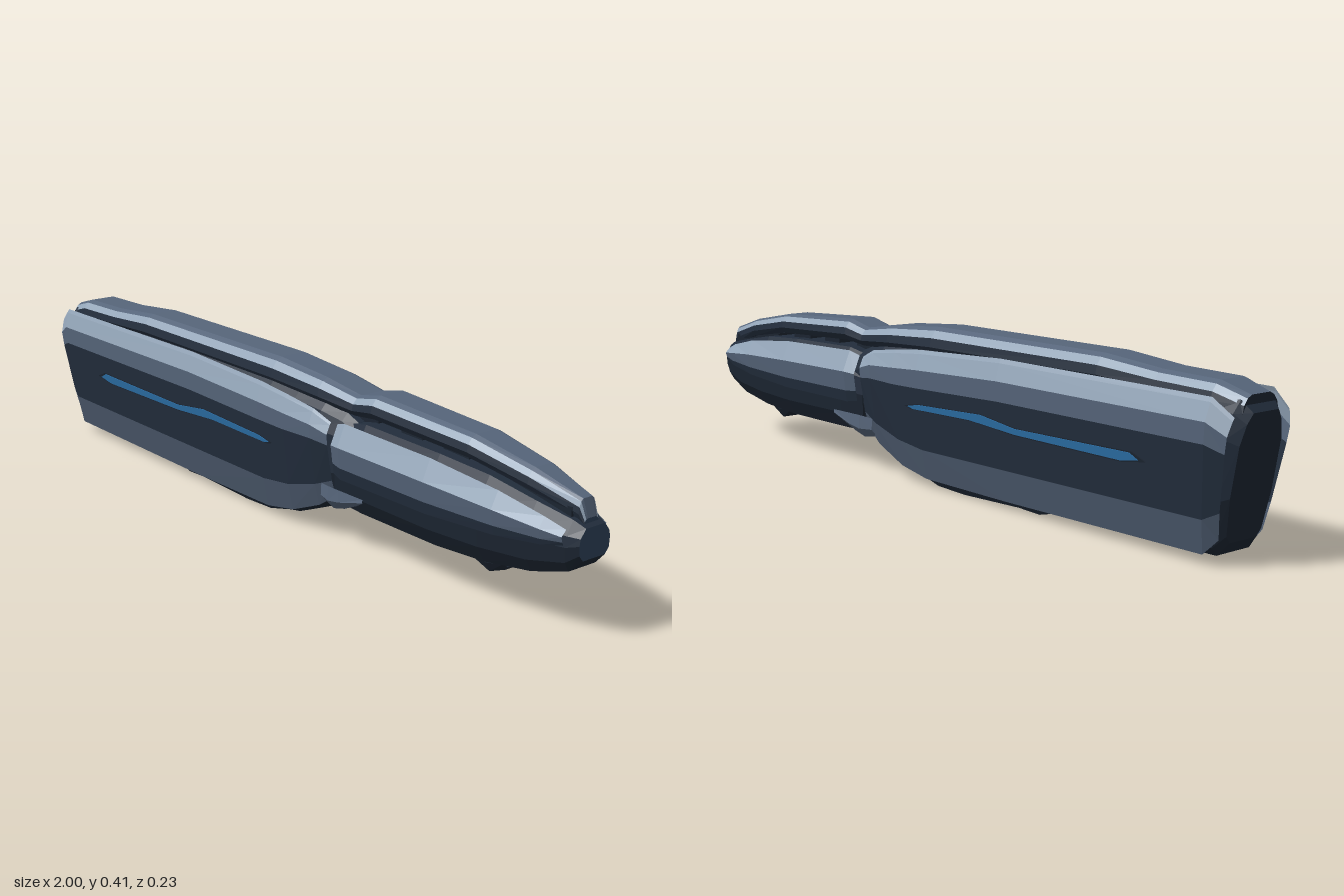
import * as THREE from 'three';

const make = (name, color, side = THREE.FrontSide) => {
  const m = new THREE.MeshStandardMaterial({ color, flatShading: true, side });
  m.name = name;
  return m;
};
const slate = make('slate armour', 0x56657a, THREE.DoubleSide);
const navy = make('navy panel', 0x222d3c, THREE.DoubleSide);
const dark = make('dark hull', 0x1b2430);
const steel = make('steel cap', 0x2c3f55);
const pale = make('pale edge', 0x93a5b8, THREE.DoubleSide);
const deep = make('deep slate armour', 0x4a576a, THREE.DoubleSide);
const blue = make('blue light', 0x2b6da4);
const mats = [slate, navy, dark, steel, pale, deep];
const S = 0, N = 1, D = 2, C = 3, P = 4, E = 5;

// Lofts a profile along x. Stations are [x, yBottom, yTop, halfWidth, lean];
// profile points are [height 0..1, width 0..1, material of the band above].
function loft(name, stations, profile, { closed = true, caps = [D, C] } = {}) {
  const ring = closed
    ? [...profile, ...profile.map((p, i) => [p[0], -p[1], i ? profile[i - 1][2] : D]).reverse()]
    : profile;
  const rows = stations.map(([x, yb, yt, hw, lean = 0]) =>
    ring.map(([u, w]) => [x + lean * u, yb + (yt - yb) * u, hw * w]));
  const n = ring.length, last = rows.length - 1;
  const pos = [], geo = new THREE.BufferGeometry();
  const add = (mat, ...pts) => {
    geo.addGroup(pos.length / 3, pts.length, mat);
    pts.forEach(p => pos.push(...p));
  };
  for (let j = 0; j < (closed ? n : n - 1); j++) {
    const k = (j + 1) % n;
    for (let i = 0; i < last; i++) {
      const a = rows[i][j], b = rows[i + 1][j], c = rows[i + 1][k], d = rows[i][k];
      add(ring[j][2], a, b, c, a, c, d);
    }
  }
  if (closed) {
    for (let j = 1; j < n - 1; j++) {
      add(caps[0], rows[0][0], rows[0][j], rows[0][j + 1]);
      add(caps[1], rows[last][0], rows[last][j + 1], rows[last][j]);
    }
  }
  geo.setAttribute('position', new THREE.Float32BufferAttribute(pos, 3));
  geo.computeVertexNormals();
  const mesh = new THREE.Mesh(geo, mats);
  mesh.name = name;
  return mesh;
}

function box(name, mat, x0, x1, y0, y1, hw) {
  const mesh = new THREE.Mesh(new THREE.BoxGeometry(x1 - x0, y1 - y0, hw * 2), mat);
  mesh.position.set((x0 + x1) / 2, (y0 + y1) / 2, 0);
  mesh.name = name;
  return mesh;
}

// Thin flat plate from an outline, lying on the sloping side armour
function plate(name, mat, outline, z) {
  const shape = new THREE.Shape(outline.map(([x, y]) => new THREE.Vector2(x, y - 0.205)));
  const geo = new THREE.ExtrudeGeometry(shape, { depth: 0.003, bevelEnabled: false });
  const mesh = new THREE.Mesh(geo, mat);
  mesh.position.set(0, 0.205, z);
  mesh.rotation.x = 0.109;
  mesh.name = name;
  return mesh;
}

export function createModel() {
  const model = new THREE.Group();
  model.name = 'ship';

  // Rear hull
  model.add(loft('rearHull', [
    [-0.95, 0.05, 0.33, 0.066, -0.05], [-0.925, 0.02, 0.355, 0.084, -0.05],
    [-0.4, 0.012, 0.365, 0.09], [0, 0.012, 0.36, 0.09], [0.1, 0.03, 0.35, 0.09],
    [0.2, 0.07, 0.34, 0.088], [0.27, 0.1, 0.325, 0.08], [0.31, 0.1, 0.31, 0.08],
  ], [[0, 0.62, D], [0.06, 0.84, D], [0.36, 1, N], [0.76, 1, N], [0.92, 0.82, N], [1, 0.6, N]]));

  // Front hull
  model.add(loft('frontHull', [
    [0.265, 0.1, 0.3, 0.084], [0.35, 0.1, 0.317, 0.095], [0.6, 0.1, 0.312, 0.096],
    [0.75, 0.108, 0.303, 0.09], [0.88, 0.125, 0.28, 0.076], [0.97, 0.15, 0.262, 0.056],
    [1, 0.18, 0.25, 0.046],
  ], [[0, 0.72, D], [0.2, 0.97, D], [0.5, 1, N], [0.72, 0.95, N], [1, 0.62, N]]));

  // Spine along the top, with open slots below its front part
  model.add(loft('spine', [
    [-0.985, 0.31, 0.365, 0.056], [-0.91, 0.33, 0.387, 0.068], [-0.75, 0.335, 0.39, 0.068],
    [-0.58, 0.34, 0.405, 0.07], [0, 0.335, 0.404, 0.07], [0.18, 0.33, 0.39, 0.068],
    [0.3, 0.325, 0.372, 0.062], [0.37, 0.333, 0.388, 0.064], [0.68, 0.32, 0.372, 0.058],
    [0.85, 0.293, 0.341, 0.046], [0.975, 0.26, 0.305, 0.026], [0.988, 0.25, 0.265, 0.022],
  ], [[0, 0.8, N], [0.3, 1, N], [0.62, 0.93, P], [0.88, 0.74, S], [1, 0.52, S]]));
  for (const [x0, x1, y] of [[0.28, 0.36, 0.34], [0.44, 0.51, 0.34], [0.58, 0.66, 0.335], [0.74, 0.86, 0.31], [0.86, 0.96, 0.285]]) {
    model.add(box('spinePost', dark, x0, x1, 0.25, y, 0.03));
  }

  // Keel and chin
  model.add(loft('keel', [[-0.44, 0.014, 0.05, 0.07], [-0.39, 0.002, 0.05, 0.076],
    [-0.32, 0.006, 0.05, 0.08], [-0.12, 0, 0.05, 0.08], [-0.02, 0.004, 0.05, 0.08],
    [0.05, 0.02, 0.05, 0.076]], [[0, 0.72, N], [0.4, 0.97, N], [1, 1, N]], { caps: [D, D] }));
  model.add(loft('chin', [[0.66, 0.095, 0.115, 0.045], [0.73, 0.068, 0.115, 0.04],
    [0.775, 0.085, 0.115, 0.034], [0.78, 0.092, 0.112, 0.033]],
  [[0, 0.62, D], [0.5, 0.95, D], [1, 1, N]]));

  // Side armour, built once and mirrored
  const side = new THREE.Group();
  side.name = 'leftArmour';
  side.add(loft('rearArmour', [
    [-0.945, 0.06, 0.325, 0.1, -0.045], [-0.91, 0.024, 0.362, 0.113, -0.03],
    [-0.3, 0.02, 0.365, 0.115], [0, 0.022, 0.352, 0.115], [0.1, 0.04, 0.342, 0.114],
    [0.2, 0.08, 0.328, 0.11], [0.255, 0.115, 0.305, 0.1],
  ], [[0, 0.7, E], [0.23, 0.82, N], [0.71, 0.98, S], [0.85, 1, P], [0.97, 0.9, P], [1, 0.86, P]],
  { closed: false }));
  side.add(loft('frontArmour', [
    [0.275, 0.185, 0.305, 0.104], [0.31, 0.18, 0.315, 0.113], [0.6, 0.18, 0.308, 0.111],
    [0.8, 0.19, 0.288, 0.1], [0.92, 0.202, 0.262, 0.082], [0.97, 0.212, 0.245, 0.068],
  ], [[0, 0.9, N], [0.22, 0.94, S], [0.6, 1, P], [1, 0.8, P]], { closed: false }));
  side.add(loft('neckBracket', [
    [0.22, 0.095, 0.145, 0.088], [0.26, 0.09, 0.15, 0.1], [0.3, 0.1, 0.15, 0.1],
    [0.38, 0.135, 0.148, 0.095],
  ], [[0, 0.8, S], [0.4, 1, S], [1, 0.98, S]], { closed: false }));

  // Long light strip in its dark surround
  side.add(plate('lightSurround', dark, [[-0.77, 0.2], [-0.73, 0.217], [-0.36, 0.211],
    [-0.24, 0.227], [0, 0.217], [0.055, 0.207], [0.03, 0.2], [-0.2, 0.204],
    [-0.36, 0.192], [-0.7, 0.189]], 0.105));
  side.add(plate('lightStrip', blue, [[-0.75, 0.201], [-0.725, 0.214], [-0.36, 0.209],
    [-0.24, 0.225], [0, 0.215], [0.04, 0.207], [0.02, 0.202], [-0.2, 0.206], [-0.36, 0.195],
    [-0.7, 0.192]], 0.107));
  const mirrored = side.clone();
  mirrored.name = 'rightArmour';
  mirrored.scale.z = -1;
  model.add(side, mirrored);

  return model;
}
